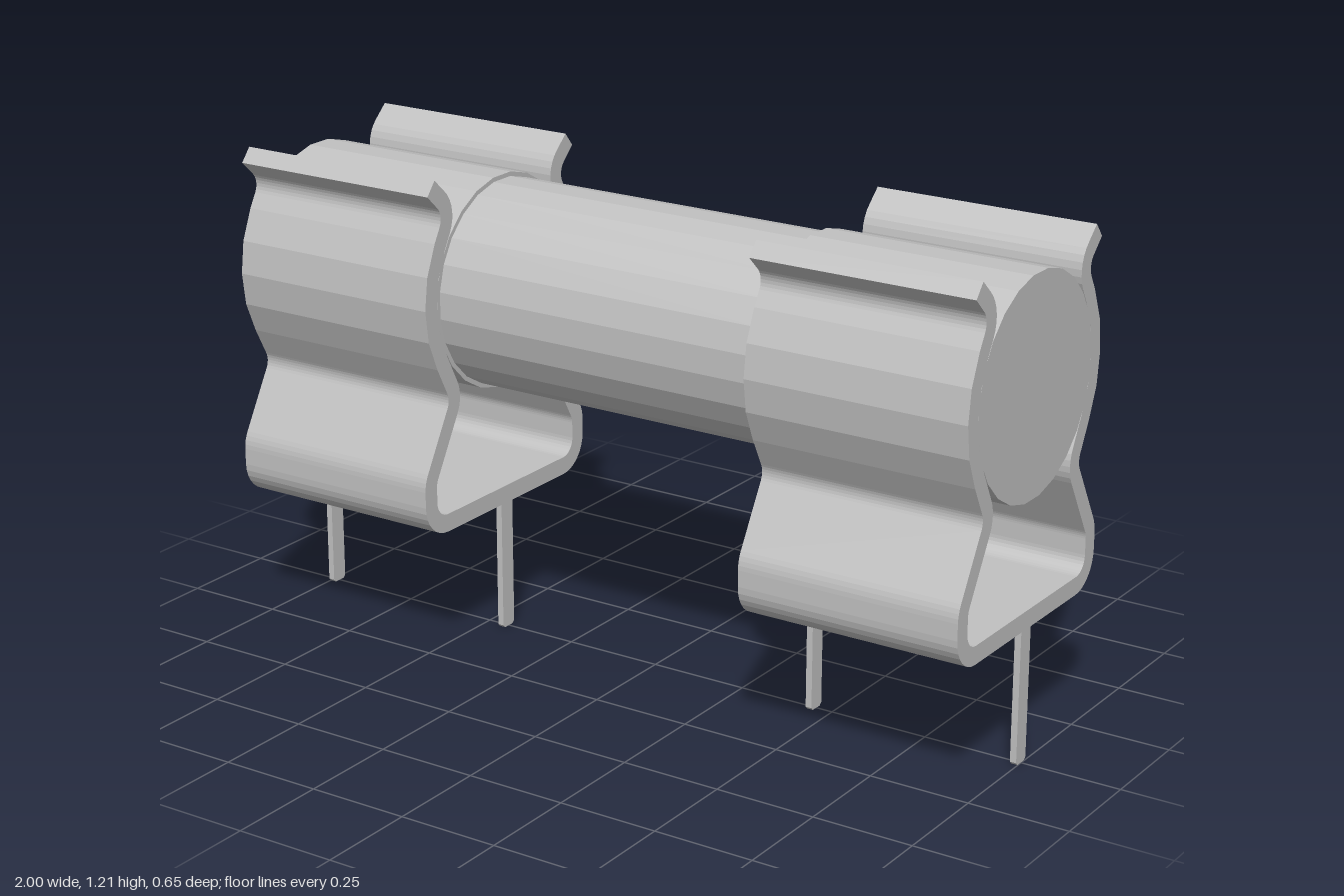
import * as THREE from 'three';

const AXIS_Y = 0.902;   // height of the fuse axis
const HALF = 0.0225;    // half the clip's sheet thickness
const CLIP_IN = 0.44, CLIP_OUT = 1;

// Flat-faceted cylinder lying along x
function barrel(name, radius, x0, x1, material) {
  const g = new THREE.CylinderGeometry(radius, radius, x1 - x0, 24, 1, false, Math.PI / 24);
  g.rotateZ(Math.PI / 2);
  const flat = g.toNonIndexed();
  flat.computeVertexNormals();
  const mesh = new THREE.Mesh(flat, material);
  mesh.name = name;
  mesh.position.set((x0 + x1) / 2, AXIS_Y, 0);
  return mesh;
}

// Extrudes a z-y outline along x, from x0 to x1
function extrudeX(shape, x0, x1) {
  const g = new THREE.ExtrudeGeometry(shape, { depth: x1 - x0, bevelEnabled: false });
  g.rotateY(Math.PI / 2);
  g.translate(x0, 0, 0);
  return g;
}

// Spring clip: bent strip of constant thickness, straight between its arcs
function clipShape() {
  // centre z, centre y, radius, start angle, end angle, segments
  const arcs = [
    [0.24, 0.415, 0.063, -90, 0, 8],          // base corner
    [0.24, 0.455, 0.063, 0, 30, 4],           // shoulder
    [0.267, 0.66, 0.062, 210, 150, 6],        // waist
    [0, AXIS_Y, 0.287, -30, 30, 4],           // grip around the cap
    [0.282, 1.112, 0.062, 210, 130, 7],       // flared lip
  ];
  const outer = [], inner = [];
  for (const [cz, cy, r, a0, a1, n] of arcs) {
    const side = a1 > a0 ? HALF : -HALF;
    for (let i = 0; i <= n; i++) {
      const a = THREE.MathUtils.degToRad(a0 + (a1 - a0) * i / n);
      const at = (rad) => new THREE.Vector2(cz + rad * Math.cos(a), cy + rad * Math.sin(a));
      outer.push(at(r + side));
      inner.push(at(r - side));
    }
  }
  outer.push(new THREE.Vector2(0.263, 1.209 - 0.034).add(new THREE.Vector2(0.028, 0)));
  inner.push(new THREE.Vector2(0.263, 1.209));
  const mirror = (pts) => pts.map((p) => new THREE.Vector2(-p.x, p.y));
  return new THREE.Shape([
    ...outer, ...inner.slice().reverse(),
    ...mirror(inner), ...mirror(outer).reverse(),
  ]);
}

// Solder pin: narrow tab with clipped bottom corners
function pinShape() {
  const w = 0.0225, c = 0.007;
  return new THREE.Shape([
    [-w + c, 0], [w - c, 0], [w, c], [w, 0.34], [-w, 0.34], [-w, c],
  ].map(([x, y]) => new THREE.Vector2(x, y)));
}

export function createModel() {
  const model = new THREE.Group();
  model.name = 'fuseInClips';
  const metal = new THREE.MeshStandardMaterial({ color: 0xc0c0c0 });
  metal.name = 'light grey metal';

  // Fuse tube
  model.add(barrel('fuseBody', 0.254, -0.45, 0.45, metal));

  const clip = clipShape(), pin = pinShape();
  for (const side of [1, -1]) {
    const label = side > 0 ? 'left' : 'right';
    const span = (a, b) => (side > 0 ? [a, b] : [-b, -a]);

    // End cap
    model.add(barrel(label + 'Cap', 0.265, ...span(CLIP_IN, CLIP_OUT), metal));

    // Clip with its two pins
    const holder = new THREE.Group();
    holder.name = label + 'Holder';
    const spring = new THREE.Mesh(extrudeX(clip, ...span(CLIP_IN, CLIP_OUT)), metal);
    spring.name = label + 'Clip';
    holder.add(spring);
    for (const [name, x] of [['InnerPin', 0.441], ['OuterPin', 0.983]]) {
      const mesh = new THREE.Mesh(extrudeX(pin, ...span(x, x + 0.016)), metal);
      mesh.name = label + name;
      holder.add(mesh);
    }
    model.add(holder);
  }
  return model;
}
